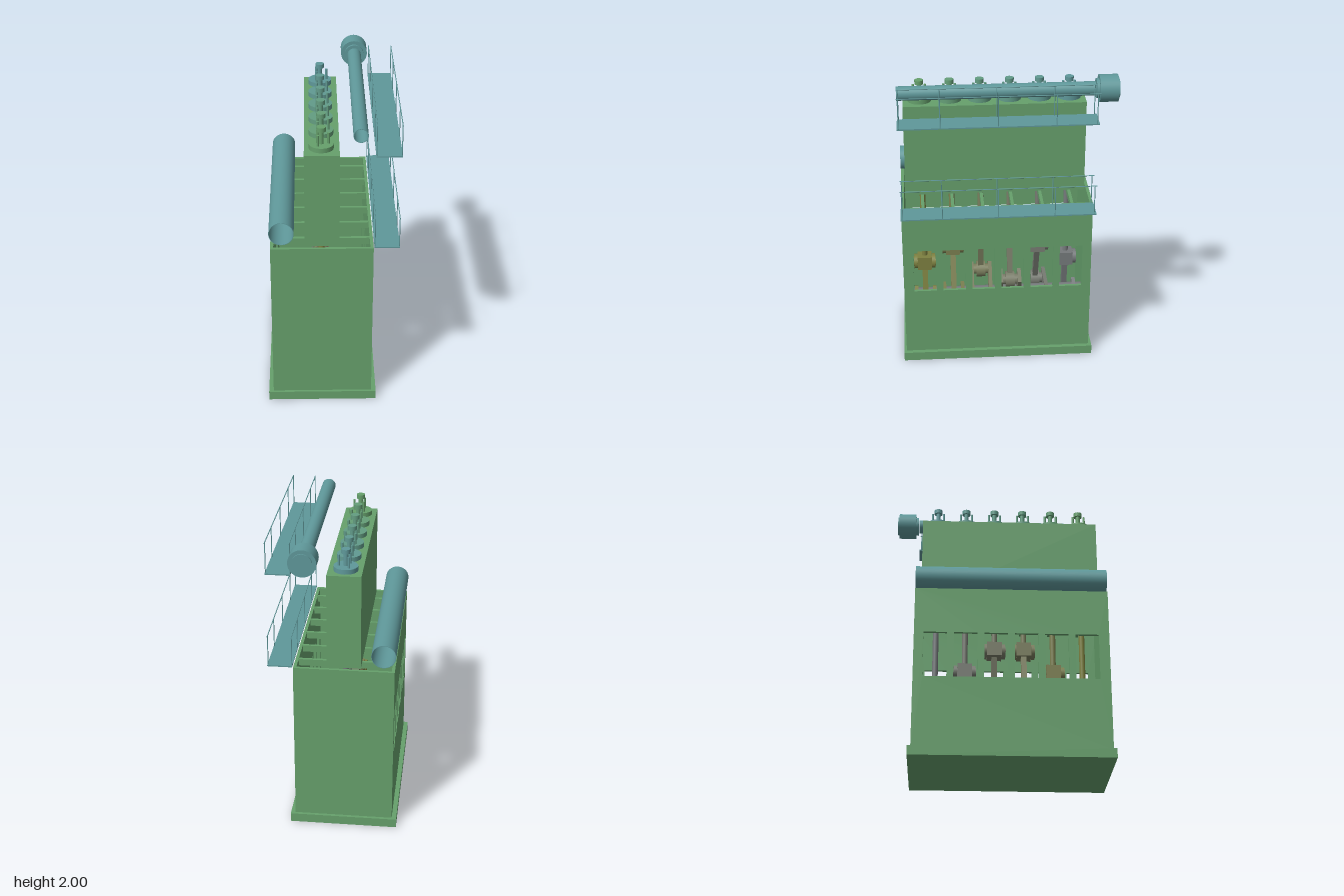
import * as THREE from 'three';

const GREEN = new THREE.Color(0x66a06c), TEAL = new THREE.Color(0x5f989a);
const OLIVE = new THREE.Color(0x7d8040), STEEL = new THREE.Color(0x75797b);
const CX = -0.07;                                   // cylinder row centre line
const Z0 = -0.555, Z1 = 0.69, ZM = (Z0 + Z1) / 2, LEN = Z1 - Z0;
const CRANK_Y = 0.32, THROW = 0.155, ROD = 0.4;
const mat = (color, side = THREE.FrontSide) => new THREE.MeshStandardMaterial({ color, side });
const green = mat(GREEN), teal = mat(TEAL), tealThin = mat(TEAL, THREE.DoubleSide);

function add(parent, name, geo, material, x = 0, y = 0, z = 0) {
  const m = new THREE.Mesh(geo, material);
  m.name = name;
  m.position.set(x, y, z);
  parent.add(m);
  return m;
}

// Box given by its limits on each axis
function box(parent, name, material, x0, x1, y0, y1, z0, z1) {
  return add(parent, name, new THREE.BoxGeometry(x1 - x0, y1 - y0, z1 - z0), material,
    (x0 + x1) / 2, (y0 + y1) / 2, (z0 + z1) / 2);
}

// Upright cylinder standing on y
const post = (parent, name, material, r, h, x, y, z) =>
  add(parent, name, new THREE.CylinderGeometry(r, r, h, 24), material, x, y + h / 2, z);

// Cylinder lying along z
const roller = (parent, name, material, r, len, x, y, z) =>
  add(parent, name, new THREE.CylinderGeometry(r, r, len, 32).rotateX(Math.PI / 2), material, x, y, z);

// Bar between two points in the xy plane, w wide in the plane and d deep along z
function bar(parent, name, material, xa, ya, xb, yb, w, d, z, extra = 0) {
  const len = Math.hypot(xb - xa, yb - ya) + extra;
  const m = add(parent, name, new THREE.BoxGeometry(w, len, d), material, (xa + xb) / 2, (ya + yb) / 2, z);
  m.rotation.z = -Math.atan2(xb - xa, yb - ya);
  return m;
}

// Open pipe along z with wall thickness
function pipe(parent, name, r, wall, x, y) {
  const h = LEN / 2, q = r - wall;
  const pts = [[q, -h], [r, -h], [r, -h], [r, h], [r, h], [q, h], [q, h], [q, -h]]
    .map(([a, b]) => new THREE.Vector2(a, b));
  add(parent, name, new THREE.LatheGeometry(pts, 48).rotateX(Math.PI / 2), tealThin, x, y, ZM);
}

const cylinderZ = i => 0.548 - i * 0.1935;

// Long side wall with one inspection window per cylinder
function sideWall(parent, x) {
  const s = new THREE.Shape([[-Z1, 0.06], [-Z0, 0.06], [-Z0, 1.145], [-Z1, 1.145]]
    .map(p => new THREE.Vector2(...p)));
  for (let i = 0; i < 6; i++) {
    const u = -cylinderZ(i);
    s.holes.push(new THREE.Path([[u - 0.075, 0.53], [u - 0.075, 0.835], [u + 0.075, 0.835], [u + 0.075, 0.53]]
      .map(p => new THREE.Vector2(...p))));
  }
  const geo = new THREE.ExtrudeGeometry(s, { depth: 0.02, bevelEnabled: false }).rotateY(Math.PI / 2);
  add(parent, 'sideWall', geo, green, x);
}

// Crank throw, connecting rod, crosshead and piston rod of one cylinder
function runningGear(parent, i) {
  const g = new THREE.Group();
  g.name = 'runningGear';
  const z = cylinderZ(i);
  const m = mat(OLIVE.clone().lerp(STEEL, i / 5));
  const a = THREE.MathUtils.degToRad([150, 90, -30, 30, -90, -150][i]);
  const px = CX + THROW * Math.sin(a), py = CRANK_Y + THROW * Math.cos(a);
  const hy = py + Math.sqrt(ROD * ROD - (px - CX) ** 2);
  for (const s of [-1, 1]) {
    bar(g, 'crankWeb', m, CX, CRANK_Y, px, py, 0.11, 0.025, z + s * 0.063, 0.1);
    roller(g, 'crossheadShoe', m, 0.05, 0.022, CX, hy, z + s * 0.06);
  }
  roller(g, 'crankPin', m, 0.035, 0.11, px, py, z);
  roller(g, 'bigEnd', m, 0.055, 0.06, px, py, z);
  bar(g, 'connectingRod', m, px, py, CX, hy, 0.045, 0.036, z);
  roller(g, 'crossheadPin', m, 0.035, 0.15, CX, hy, z);
  box(g, 'crossheadBlock', m, CX - 0.05, CX + 0.05, hy - 0.045, hy + 0.05, z - 0.048, z + 0.048);
  post(g, 'pistonRod', m, 0.019, 1.16 - hy, CX, hy, z);
  parent.add(g);
}

// Cylinder cover with three studs and an exhaust valve
function cylinderHead(parent, i) {
  const g = new THREE.Group();
  g.name = 'cylinderHead';
  const z = cylinderZ(i);
  const m = mat(GREEN.clone().lerp(TEAL, i / 5));
  post(g, 'cover', m, 0.076, 0.03, CX, 1.77, z);
  post(g, 'valveStem', m, 0.015, 0.09, CX, 1.8, z);
  post(g, 'valveCap', m, 0.028, 0.028, CX, 1.882, z);
  for (let k = 0; k < 3; k++) {
    const t = k * Math.PI * 2 / 3;
    post(g, 'stud', m, 0.008, 0.07, CX + 0.044 * Math.cos(t), 1.8, z + 0.044 * Math.sin(t));
  }
  parent.add(g);
}

// Gallery with a handrail along both edges
function walkway(parent, y) {
  const g = new THREE.Group();
  g.name = 'walkway';
  box(g, 'deck', teal, 0.255, 0.412, y - 0.004, y + 0.004, Z0, Z1);
  for (const x of [0.258, 0.408]) {
    for (const z of [0.68, 0.426, 0.07, -0.29, -0.54]) post(g, 'railPost', teal, 0.003, 0.2, x, y, z);
    roller(g, 'handrail', teal, 0.003, LEN, x, y + 0.2, ZM);
  }
  parent.add(g);
}

export function createModel() {
  const root = new THREE.Group();
  root.name = 'marineEngine';

  // Bedplate and hollow crankcase
  box(root, 'bedplate', green, -0.42, 0.28, 0, 0.06, -0.575, 0.707);
  sideWall(root, -0.39);
  sideWall(root, 0.23);
  box(root, 'endWall', green, -0.37, 0.23, 0.06, 1.145, Z0, Z0 + 0.02);
  box(root, 'endWall', green, -0.37, 0.23, 0.06, 1.145, Z1 - 0.02, Z1);

  // Cylinder block on its cross beams
  box(root, 'cylinderBlock', green, -0.175, 0.04, 1.145, 1.77, -0.522, 0.657);
  for (let i = 0; i < 6; i++) {
    box(root, 'crossBeam', green, -0.37, 0.23, 1.1, 1.144, cylinderZ(i) - 0.01, cylinderZ(i) + 0.01);
    runningGear(root, i);
    cylinderHead(root, i);
  }
  // Main journals between the throws
  roller(root, 'crankshaft', mat(STEEL), 0.04, LEN - 0.04, CX, CRANK_Y, ZM);

  // Scavenge air pipe and exhaust pipe
  pipe(root, 'scavengePipe', 0.078, 0.003, -0.32, 1.252);
  pipe(root, 'exhaustPipe', 0.045, 0.004, 0.163, 1.915);

  // Turbocharger on the rear end of the exhaust pipe
  roller(root, 'turbochargerCore', teal, 0.063, 0.145, 0.163, 1.915, -0.6325);
  roller(root, 'turbochargerCasing', teal, 0.087, 0.118, 0.163, 1.915, -0.637);

  walkway(root, 1.152);
  walkway(root, 1.777);
  return root;
}
